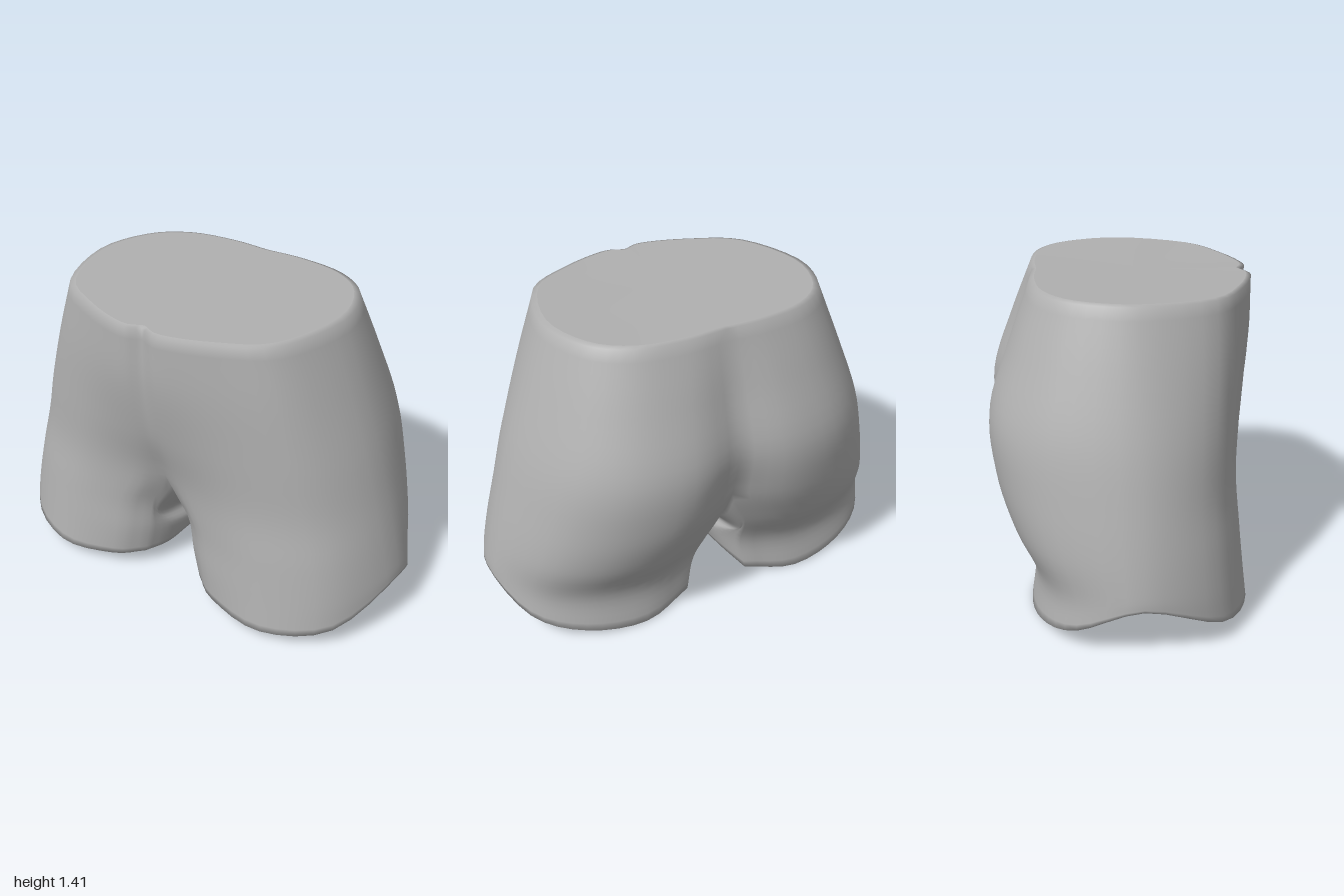
import * as THREE from 'three';
import { mergeVertices } from 'three/addons/utils/BufferGeometryUtils.js';

const OUT = 32, IN = 24, STEPS = 5;
const SPLIT = 3; // level at which the hips divide into legs

// Waist to hem: height, share of the hem arch, inner x, outer x,
// then z of front centre, front, front of thigh, back, back centre
const levels = [
  [1.41, 0, 0, .645, .55, .58, .51, -.395, -.387],
  [1.15, 0, 0, .745, .555, .575, .51, -.495, -.455],
  [.87, 0, 0, .845, .515, .53, .495, -.585, -.52],
  [.62, 0, 0, .915, .43, .475, .485, -.57, -.47],
  [.4, .15, .1, .962, .4, .475, .495, -.5, -.43],
  [.2, .4, .13, .993, .4, .485, .512, -.405, -.35],
  [0, 1, .16, 1, .4, .49, .53, -.42, -.35],
];
// Spread in x and hem height, from front centre round the outside to back centre
const spread = [0, .16, .5, .84, 1, .89, .64, .3, 0];
const hemArch = [.085, .07, .055, .1, .24, .11, .04, .003, .04];

function outerSection([y, share, xIn, xOut, zMid, zFront, zThigh, zBack, zCleft]) {
  const depth = [zMid, zFront, zThigh, zThigh * .72, .04, zBack * .56, zBack * .9, zBack, zCleft];
  return depth.map((z, i) => new THREE.Vector3(
    xIn + (xOut - xIn) * spread[i],
    y + hemArch[i] * share - .02 * Math.max(0, z) * (1 - share),
    z));
}

// Inner thigh, crotch line to hem: x, x flare, height, height change at the ends, z centre, half length
const thighs = [
  [0, 0, .33, .13, -.02, .36],
  [.08, .02, .265, .05, -.01, .35],
  [.05, .025, .195, .025, .03, .26],
  [.078, .028, .118, -.025, .03, .26],
];
const innerSection = ([x, flare, y, rise, z, reach]) => [-1, -.5, 0, .5, 1].map((s) =>
  new THREE.Vector3(x + flare * s * s, y + rise * s * s, z + reach * s));

// Smooth curve through points, sampled evenly per point
function sample(pts, n) {
  const curve = new THREE.CatmullRomCurve3(pts, false, 'catmullrom', 0.5);
  return Array.from({ length: n + 1 }, (_, i) => {
    const p = curve.getPoint(i / n);
    p.x = Math.max(0, p.x);
    return p;
  });
}
const columns = (sections) => sections[0].map((_, c) =>
  sample(sections.map((s) => s[c]), (sections.length - 1) * STEPS));

function halfRows() {
  const oc = columns(levels.map(outerSection)), ic = columns(thighs.map(innerSection));
  const hips = [], leg = [];
  for (let r = 0; r <= (levels.length - 1) * STEPS; r++) {
    const ctrl = oc.map((c) => c[r]);
    const arc = sample(ctrl, OUT);
    const k = r - SPLIT * STEPS;
    if (k <= 0) {
      arc[0].x = arc[OUT].x = 0;
      hips.push(arc);
    }
    if (k >= 0) {
      const back = sample([ctrl[8], ...ic.map((c) => c[k]), ctrl[0]], IN);
      back[IN].copy(arc[0]);
      leg.push([...arc, ...back.slice(1)]);
    }
  }
  return { hips, leg };
}

// Triangles between successive rows
function strip(rows) {
  const tris = [];
  for (let r = 0; r + 1 < rows.length; r++) {
    for (let i = 0; i + 1 < rows[r].length; i++) {
      const a = rows[r][i], b = rows[r][i + 1], c = rows[r + 1][i], d = rows[r + 1][i + 1];
      tris.push(a, c, b, b, c, d);
    }
  }
  return tris;
}

function mirror(tris) {
  const m = tris.map((p) => new THREE.Vector3(-p.x, p.y, p.z));
  for (let i = 0; i < m.length; i += 3) [m[i + 1], m[i + 2]] = [m[i + 2], m[i + 1]];
  return m;
}

function toMesh(name, tris, material) {
  const g = mergeVertices(new THREE.BufferGeometry().setFromPoints(tris), 1e-4);
  g.computeVertexNormals();
  const mesh = new THREE.Mesh(g, material);
  mesh.name = name;
  return mesh;
}

// Copy of a row drawn in toward a centre
const inset = (row, centre, k, lift) => row.map((p) => {
  const q = p.clone().lerp(centre, k);
  q.y = p.y + lift;
  return q;
});

export function createModel() {
  const grey = new THREE.MeshStandardMaterial({ color: 0xb0b0b0, side: THREE.DoubleSide });
  grey.name = 'plain grey';
  const model = new THREE.Group();
  model.name = 'hips';

  const { hips, leg } = halfRows();
  const waistCentre = new THREE.Vector3(0, 1.41, .08);
  const hemCentre = new THREE.Vector3(.53, .1, .04);

  // Rounded rims at waist and hems
  const waistRim = inset(hips[0], waistCentre, .04, .006);
  const hemRim = inset(leg[leg.length - 1], hemCentre, .05, 0);

  // Hips and thighs as one smooth skin
  const half = [...strip([waistRim, ...hips]), ...strip([...leg, hemRim])];
  model.add(toMesh('body', [...half, ...mirror(half)], grey));

  // Closing faces
  const waist = [], hem = [];
  for (let i = 0; i + 1 < waistRim.length; i++) waist.push(waistCentre, waistRim[i], waistRim[i + 1]);
  for (let i = 0; i + 1 < hemRim.length; i++) hem.push(hemRim[i], hemCentre, hemRim[i + 1]);
  model.add(toMesh('waistCap', [...waist, ...mirror(waist)], grey));
  model.add(toMesh('leftLegCap', hem, grey));
  model.add(toMesh('rightLegCap', mirror(hem), grey));
  return model;
}
